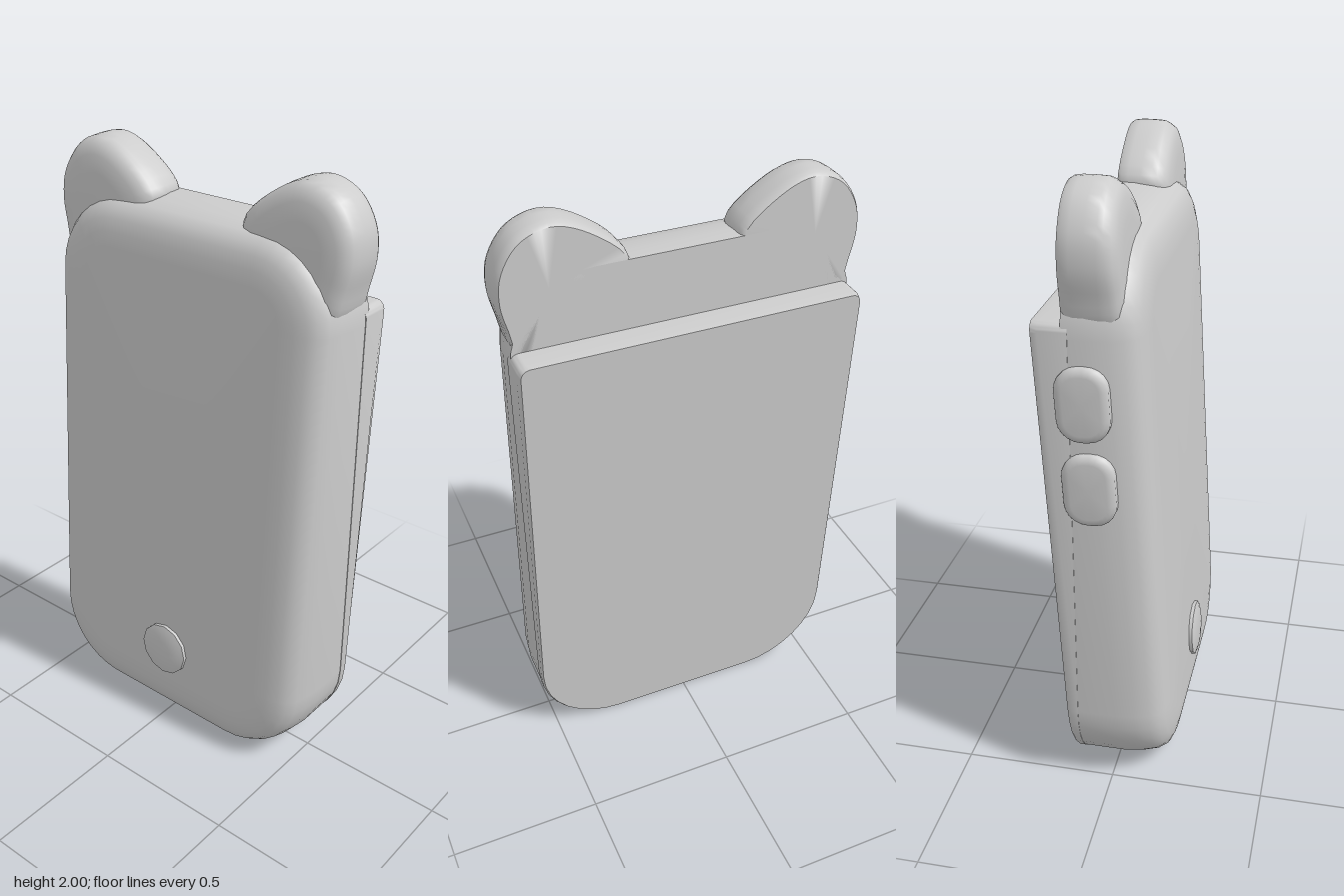
import * as THREE from 'three';
import { toCreasedNormals } from 'three/addons/utils/BufferGeometryUtils.js';

const LEAN = 0.0565; // how far the case leans back per unit of height

// Rounded rectangle, counter-clockwise; rb and rt are the bottom and top radii.
function roundedOutline(x0, x1, y0, y1, rb, rt, steps = 8) {
  const pts = [];
  const corner = (cx, cy, r, start) => {
    for (let i = 0; i <= steps; i++) {
      const a = start + (i / steps) * Math.PI / 2;
      pts.push([cx + r * Math.cos(a), cy + r * Math.sin(a)]);
    }
  };
  corner(x1 - rb, y0 + rb, rb, -Math.PI / 2);
  corner(x1 - rt, y1 - rt, rt, 0);
  corner(x0 + rt, y1 - rt, rt, Math.PI / 2);
  corner(x0 + rb, y0 + rb, rb, Math.PI);
  return pts;
}

// Skins rings of [x, y, z] points from front to back and closes both ends.
function loft(rings, crease = 0.75) {
  const n = rings[0].length;
  const pos = rings.flat(2);
  const index = [];
  for (let k = 0; k < rings.length - 1; k++) {
    for (let i = 0; i < n; i++) {
      const j = (i + 1) % n;
      const a = k * n + i, b = k * n + j, c = a + n, d = b + n;
      index.push(a, c, b, b, c, d);
    }
  }
  const cap = (k, flip) => {
    const centre = pos.length / 3;
    for (let axis = 0; axis < 3; axis++) {
      pos.push(rings[k].reduce((s, p) => s + p[axis], 0) / n);
    }
    for (let i = 0; i < n; i++) {
      const a = k * n + i, b = k * n + (i + 1) % n;
      index.push(centre, flip ? b : a, flip ? a : b);
    }
  };
  cap(0, false);
  cap(rings.length - 1, true);
  const geo = new THREE.BufferGeometry();
  geo.setAttribute('position', new THREE.Float32BufferAttribute(pos, 3));
  geo.setIndex(index);
  return toCreasedNormals(geo, crease);
}

export function createModel() {
  const group = new THREE.Group();
  const grey = new THREE.MeshStandardMaterial({ color: 0xcccccc });
  grey.name = 'soft grey';
  const add = (name, geo) => {
    const mesh = new THREE.Mesh(geo, grey);
    mesh.name = name;
    group.add(mesh);
    return mesh;
  };

  // Front shell: leaning face with a rounded rim, upright flat back
  const shellRing = (inset, zAt) =>
    roundedOutline(-0.55 + inset, 0.55 - inset, inset, 1.845 - inset, 0.29 - inset, 0.27 - inset)
      .map(([x, y]) => [x, y, zAt(y)]);
  const rim = [[0.16, 0.203], [0.11, 0.2], [0.07, 0.19], [0.04, 0.175], [0.02, 0.145], [0.008, 0.1], [0, 0.04]];
  const shellRings = rim.map(([inset, d]) => shellRing(inset, (y) => d - LEAN * y));
  shellRings.push(shellRing(0, () => -0.12));
  add('frontShell', loft(shellRings));

  // Back panel: wedge that thickens upward and stops at a ledge
  const panelRing = (inset, zAt) =>
    roundedOutline(-0.552 + inset, 0.552 - inset, 0, 1.62 - inset / 2, 0.29, 0.03)
      .map(([x, y]) => [x, y, zAt(y)]);
  add('backPanel', loft([
    panelRing(0, () => -0.1),
    panelRing(0, (y) => -0.115 - 0.045 * y),
    panelRing(0.006, (y) => -0.12 - 0.0555 * y),
  ]));

  // Ears: domed fronts, flared inward toward the top edge
  const earPoints = [
    [0.17, 1.842], [0.28, 1.953], [0.40, 2.0], [0.5, 1.967], [0.56, 1.88],
    [0.572, 1.79], [0.555, 1.70], [0.52, 1.60], [0.4, 1.6], [0.25, 1.72],
  ];
  const earCurve = new THREE.CatmullRomCurve3(
    earPoints.map(([x, y]) => new THREE.Vector3(x, y, 0)), true);
  const earOutline = earCurve.getPoints(48).slice(0, 48);
  const earProfile = [
    [0.5, 0.056], [0.75, 0.052], [0.9, 0.04], [0.965, 0.02], [0.99, -0.01],
    [1, -0.045], [1, -0.085], [0.985, -0.108], [0.95, -0.12],
  ];
  for (const side of [1, -1]) {
    const rings = earProfile.map(([s, z]) => {
      const ring = earOutline.map((p) => {
        const x = 0.39 + (p.x - 0.39) * s;
        const y = 1.78 + (p.y - 1.78) * s;
        return [side * x, y, z > 0 ? z - 0.06 * (y - 1.68) : z];
      });
      return side > 0 ? ring.reverse() : ring;
    });
    add(side > 0 ? 'leftEar' : 'rightEar', loft(rings, 1));
  }

  // Round button low on the front
  const dome = [[0.095, -0.02], [0.095, 0.012], [0.07, 0.019], [0.035, 0.022], [0, 0.023]]
    .map(([r, y]) => new THREE.Vector2(r, y));
  const button = add('frontButton', toCreasedNormals(new THREE.LatheGeometry(dome, 12), 0.75));
  button.rotation.x = Math.PI / 2 - LEAN;
  button.position.set(0, 0.285, 0.203 - LEAN * 0.285);

  // Two oval buttons on the right side
  for (const [name, y] of [['upperSideButton', 1.385], ['lowerSideButton', 1.115]]) {
    const rings = [[0.025, 0.027], [0.012, 0.025], [0, 0.014], [0, -0.03]].map(([inset, d]) =>
      roundedOutline(-0.08 + inset, 0.08 - inset, -0.115 + inset, 0.115 - inset,
        0.07 - inset, 0.07 - inset, 5).map(([px, py]) => [px, py, d]));
    const mesh = add(name, loft(rings, 1));
    mesh.rotation.set(-LEAN, -Math.PI / 2, 0, 'XYZ');
    mesh.position.set(-0.55, y, 0.02 - LEAN * y);
  }

  return group;
}
